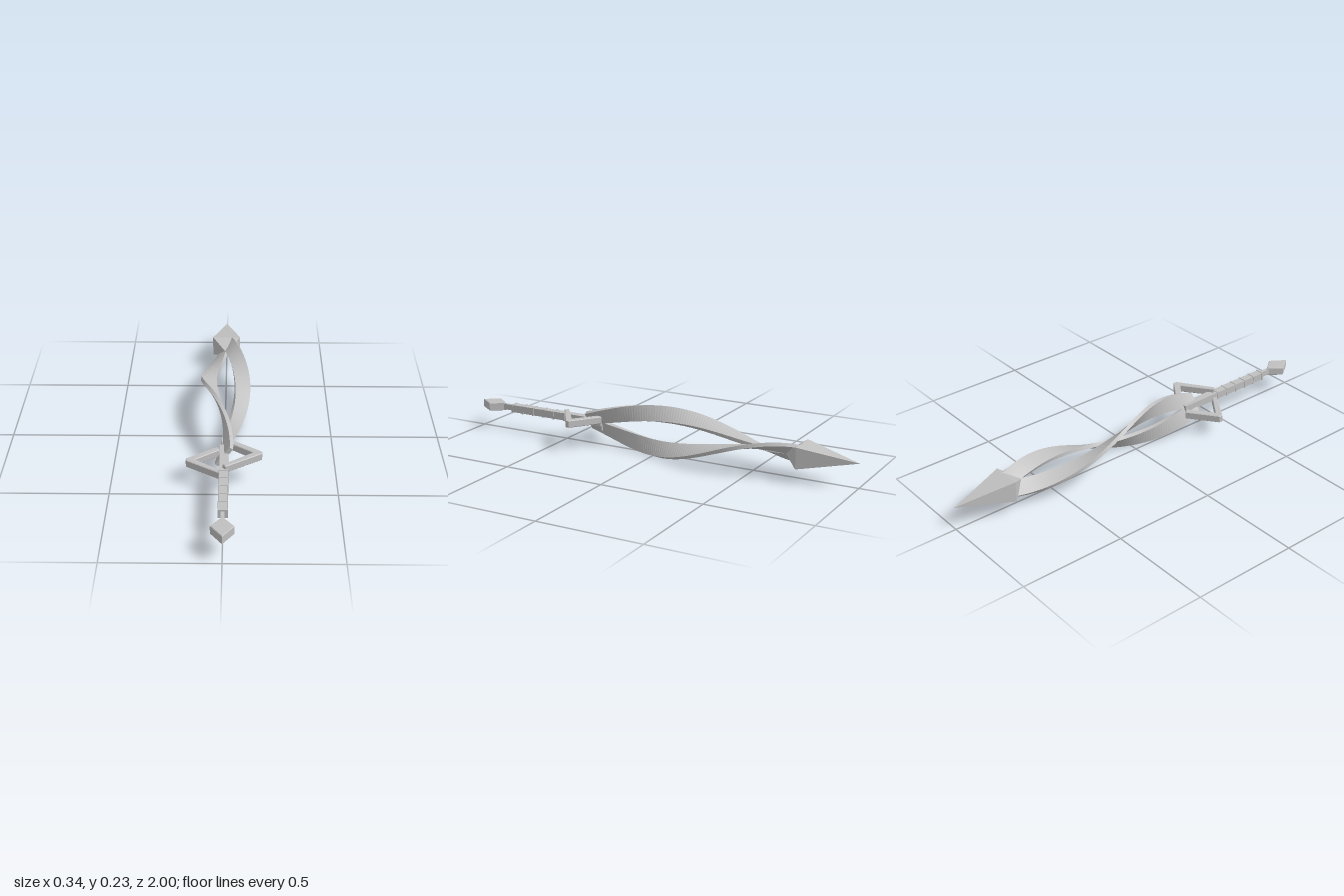
import * as THREE from 'three';

const AXIS = 0.116; // height of the long axis

export function createModel() {
  const steel = new THREE.MeshStandardMaterial({ color: 0xc0c0c0, flatShading: true });
  steel.name = 'light grey steel';
  const sword = new THREE.Group();
  sword.name = 'twistedSword';
  const body = new THREE.Group();
  body.name = 'swordBody';
  body.position.y = AXIS;
  sword.add(body);

  const add = (name, geometry, x = 0, y = 0, z = 0) => {
    const mesh = new THREE.Mesh(geometry, steel);
    mesh.name = name;
    mesh.position.set(x, y, z);
    body.add(mesh);
    return mesh;
  };

  // flat outline in x and z, extruded in height around y = 0
  const plate = (points, height) => {
    const bevel = 0.003;
    const shape = new THREE.Shape(points.map(([x, z]) => new THREE.Vector2(x, z)));
    const g = new THREE.ExtrudeGeometry(shape, {
      depth: height - 2 * bevel, bevelEnabled: true, bevelSegments: 1,
      bevelThickness: bevel, bevelSize: bevel, bevelOffset: -bevel,
    });
    g.translate(0, 0, -height / 2 + bevel);
    return g.rotateX(Math.PI / 2);
  };

  // blade ribbon: radial strip that winds round the axis and bulges mid-way
  const ribbon = (turn) => {
    const zBack = -0.74, zFront = 0.37, steps = 90, halfW = 0.038, halfT = 0.009;
    const corners = [[-halfW, -halfT], [halfW, -halfT], [halfW, halfT], [-halfW, halfT]];
    const ring = (i) => {
      const t = i / steps;
      const z = zBack + (zFront - zBack) * t;
      const a = Math.PI / 2 + THREE.MathUtils.degToRad(163) * (0.145 - z) + turn;
      const r = 0.016 + 0.073 * Math.pow(Math.max(0, Math.sin(Math.PI * t)), 0.85);
      return corners.map(([u, v]) => [
        (r + u) * Math.cos(a) - v * Math.sin(a),
        (r + u) * Math.sin(a) + v * Math.cos(a),
        z,
      ]);
    };
    const pos = [];
    const quad = (a, b, c, d) => pos.push(...a, ...b, ...c, ...a, ...c, ...d);
    for (let i = 0; i < steps; i++) {
      const p = ring(i), q = ring(i + 1);
      for (let k = 0; k < 4; k++) {
        const n = (k + 1) % 4;
        quad(p[k], p[n], q[n], q[k]);
      }
    }
    const first = ring(0), last = ring(steps);
    quad(first[3], first[2], first[1], first[0]);
    quad(last[0], last[1], last[2], last[3]);
    const g = new THREE.BufferGeometry();
    g.setAttribute('position', new THREE.Float32BufferAttribute(pos, 3));
    g.computeVertexNormals();
    return g;
  };
  add('bladeRibbonA', ribbon(0));
  add('bladeRibbonB', ribbon(Math.PI));

  // spearhead tip: long pyramid ahead, short pyramid behind
  const pyramid = (length, direction) => {
    const g = new THREE.ConeGeometry(Math.SQRT2, length, 4, 1, true);
    g.rotateY(Math.PI / 4);
    g.rotateX(direction * Math.PI / 2);
    g.scale(0.07, 0.05, 1);
    return g;
  };
  add('spearheadTip', pyramid(0.27, -1), 0, 0, -0.865);
  add('spearheadBack', pyramid(0.08, 1), 0, 0, -0.69);

  // guard: two bent bars, one a half turn from the other about the long axis
  const guardOutline = [
    [-0.005, 0.487], [0.008, 0.506], [0.168, 0.397], [0.168, 0.379],
    [0.034, 0.28], [0.016, 0.303], [0.127, 0.388],
  ];
  for (const side of [0, 1]) {
    const arm = new THREE.Group();
    arm.name = side ? 'rightGuard' : 'leftGuard';
    arm.rotation.z = side * Math.PI;
    const bar = new THREE.Mesh(plate(guardOutline, 0.035), steel);
    bar.name = 'guardBar';
    bar.position.y = 0.019;
    arm.add(bar);
    body.add(arm);
  }

  // grip with binding rings
  add('grip', new THREE.BoxGeometry(0.038, 0.036, 0.52), 0, 0, 0.555);
  for (let i = 0; i < 6; i++) {
    add('gripRing', new THREE.BoxGeometry(0.043, 0.041, 0.008), 0, 0, 0.505 + i * 0.061);
  }
  add('guardPin', new THREE.CylinderGeometry(0.005, 0.005, 0.06, 8), 0, -0.012, 0.3);

  // neck and diamond pommel
  add('neck', new THREE.BoxGeometry(0.016, 0.028, 0.08), 0, 0, 0.85);
  add('pommel', plate([[0, 0.86], [0.05, 0.927], [0, 1.0], [-0.05, 0.927]], 0.041));

  return sword;
}
